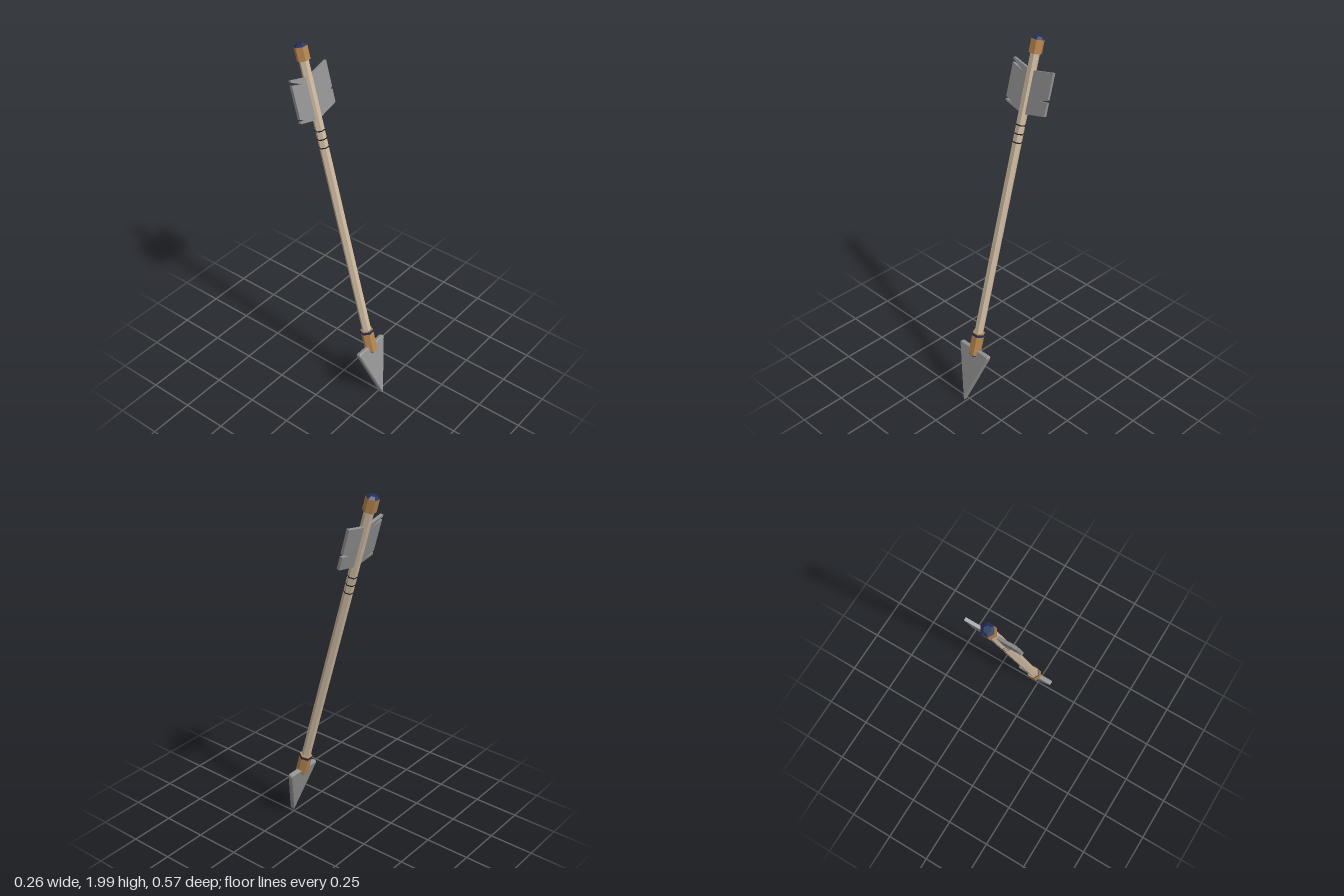
import * as THREE from 'three';

const mat = (name, color) => Object.assign(new THREE.MeshStandardMaterial({ color, flatShading: true }), { name });

export function createModel() {
  const wood = mat('paleWood', 0xcdb9a0);
  const gold = mat('bronze', 0xb58450);
  const navy = mat('navy', 0x22305a);
  const steel = mat('steelGrey', 0x929292);
  const feather = mat('featherGrey', 0x909090);
  const dark = mat('darkThread', 0x1c1c22);

  // The arrow is built along +y with its tip at the origin, then leaned back
  const arrow = new THREE.Group();
  arrow.name = 'arrow';

  const add = (name, geometry, material) => {
    const mesh = new THREE.Mesh(geometry, material);
    mesh.name = name;
    arrow.add(mesh);
    return mesh;
  };

  // Six-sided section between two heights, corners on the x axis
  const hex = (name, y0, y1, r0, r1, material) => {
    const g = new THREE.CylinderGeometry(r1, r0, y1 - y0, 6);
    g.rotateY(Math.PI / 6).translate(0, (y0 + y1) / 2, 0);
    return add(name, g, material);
  };

  // Flat plate centred on z = 0
  const plate = (name, points, thickness, bevel, material) => {
    const shape = new THREE.Shape(points.map(([x, y]) => new THREE.Vector2(x, y)));
    const g = new THREE.ExtrudeGeometry(shape, {
      depth: thickness - 2 * bevel, bevelEnabled: bevel > 0, bevelSegments: 1,
      bevelSize: bevel, bevelThickness: bevel, bevelOffset: -bevel,
    });
    g.translate(0, 0, bevel - thickness / 2);
    return add(name, g, material);
  };

  // Shaft and thread wraps
  hex('shaft', 0.35, 2.0, 0.025, 0.025, wood);
  for (const y of [1.511, 1.557, 1.603]) hex('threadWrap', y - 0.003, y + 0.003, 0.0256, 0.0256, dark);

  // Nock at the tail
  hex('nock', 1.972, 2.043, 0.035, 0.035, gold);
  hex('nockCap', 2.043, 2.056, 0.035, 0.018, navy);

  // Socket holding the head
  hex('socket', 0.29, 0.421, 0.035, 0.035, gold);
  hex('socketBand', 0.403, 0.417, 0.0362, 0.0362, navy);
  hex('socketEnd', 0.277, 0.29, 0.018, 0.035, navy);

  // Triangular head with chamfered corners
  plate('arrowHead', [
    [0, 0], [0.106, 0.306], [0.106, 0.315], [0.1, 0.322],
    [-0.1, 0.322], [-0.106, 0.315], [-0.106, 0.306],
  ], 0.028, 0.005, steel);

  // Torn feather vanes
  plate('leftVane', [
    [0, 1.66], [0.142, 1.692], [0.142, 1.764], [0.092, 1.755],
    [0.142, 1.776], [0.142, 1.915], [0, 1.884],
  ], 0.016, 0, feather);
  plate('rightVane', [
    [0, 1.884], [-0.123, 1.915], [-0.123, 1.905], [-0.05, 1.866], [-0.123, 1.888],
    [-0.123, 1.712], [-0.075, 1.692], [-0.123, 1.7], [-0.123, 1.69], [0, 1.66],
  ], 0.016, 0, feather);

  arrow.rotation.x = -Math.PI / 12;
  arrow.position.set(-0.01, 0.005, 0.272);

  const model = new THREE.Group();
  model.name = 'leaningArrow';
  model.add(arrow);
  return model;
}
